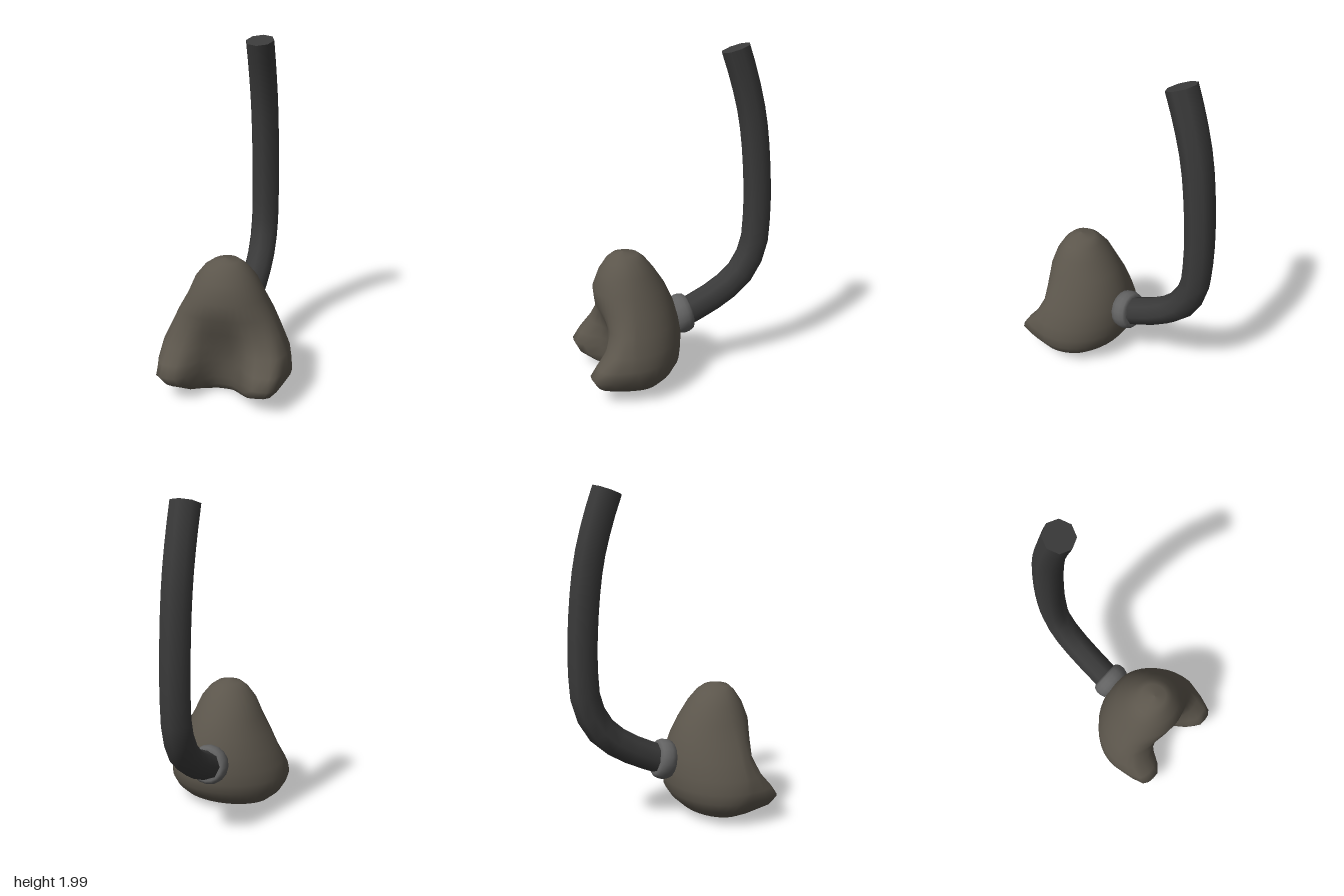
import * as THREE from 'three';

const material = (color) => new THREE.MeshStandardMaterial({ color });

// Cup cross-sections: height, half width, back z, middle z, front z, lobe bulge
const SECTIONS = [
  [0.004, 0, 0.3, 0.3, 0.3, 0],
  [0.012, 0.18, 0.2, 0.3, 0.36, 0.03],
  [0.05, 0.29, 0.11, 0.31, 0.38, 0.13],
  [0.1, 0.35, 0.055, 0.33, 0.39, 0.2],
  [0.16, 0.385, 0.015, 0.35, 0.4, 0.22],
  [0.22, 0.385, 0.005, 0.36, 0.41, 0.17],
  [0.3, 0.372, 0, 0.36, 0.43, 0.09],
  [0.4, 0.325, 0.015, 0.35, 0.465, 0.03],
  [0.5, 0.278, 0.045, 0.34, 0.508, 0.005],
  [0.6, 0.222, 0.09, 0.33, 0.522, 0],
  [0.7, 0.178, 0.155, 0.33, 0.485, 0],
  [0.77, 0.122, 0.21, 0.335, 0.44, 0],
  [0.802, 0.075, 0.25, 0.34, 0.405, 0],
  [0.817, 0, 0.34, 0.34, 0.34, 0],
];

// Smooth closed cup with two forward lobes at the bottom corners
function cupGeometry(sides = 40) {
  const positions = [];
  const index = [];
  SECTIONS.forEach(([y, w, back, mid, front, lobe], row) => {
    for (let i = 0; i < sides; i++) {
      const t = (i / sides) * Math.PI * 2;
      const c = Math.cos(t);
      const fromFront = Math.min(t, Math.PI * 2 - t);
      const bulge = lobe * Math.exp(-Math.pow((fromFront - 0.84) / 0.5, 4));
      const z = mid + c * (c > 0 ? front - mid : mid - back) + bulge;
      positions.push(w * Math.sin(t), y, z);
      if (row === 0) continue;
      const next = (i + 1) % sides;
      const a = (row - 1) * sides + i;
      const b = (row - 1) * sides + next;
      const d = row * sides + i;
      const e = row * sides + next;
      if (row > 1) index.push(a, b, e);
      if (row < SECTIONS.length - 1) index.push(a, e, d);
      else index.push(a, b, d);
      if (row === 1) index.push(a, e, d);
    }
  });
  const geometry = new THREE.BufferGeometry();
  geometry.setAttribute('position', new THREE.Float32BufferAttribute(positions, 3));
  geometry.setIndex(index);
  geometry.computeVertexNormals();
  return geometry;
}

export function createModel() {
  const group = new THREE.Group();
  const add = (name, geometry, mat) => {
    const mesh = new THREE.Mesh(geometry, mat);
    mesh.name = name;
    group.add(mesh);
    return mesh;
  };

  add('maskCup', cupGeometry(), material(0x5c564c));

  // Rounded collar joining cup and hose
  const profile = [[0, -0.06], [0.09, -0.06], [0.112, -0.045], [0.122, -0.015], [0.122, 0.015],
    [0.112, 0.04], [0.095, 0.052], [0, 0.052]].map(([r, y]) => new THREE.Vector2(r, y));
  const collar = add('collar', new THREE.LatheGeometry(profile, 16), material(0x626262));
  collar.position.set(0, 0.368, -0.025);
  collar.rotation.x = -Math.PI / 2 + 0.2;

  // Eight-sided hose sweeping back and up
  const hoseMaterial = material(0x3a3a3a);
  const path = new THREE.CatmullRomCurve3([
    [0.355, -0.01], [0.385, -0.08], [0.465, -0.245], [0.58, -0.4], [0.745, -0.492], [0.95, -0.515],
    [1.25, -0.507], [1.57, -0.47], [1.8, -0.412], [1.97, -0.354],
  ].map(([y, z]) => new THREE.Vector3(0, y, z)));
  add('hose', new THREE.TubeGeometry(path, 16, 0.089, 8, false), hoseMaterial);

  // Flat disc closing the top of the hose
  const cap = add('hoseEnd', new THREE.CircleGeometry(0.089, 8), hoseMaterial);
  const end = path.getPointAt(1);
  cap.position.copy(end);
  cap.lookAt(end.clone().add(path.getTangentAt(1)));

  return group;
}
